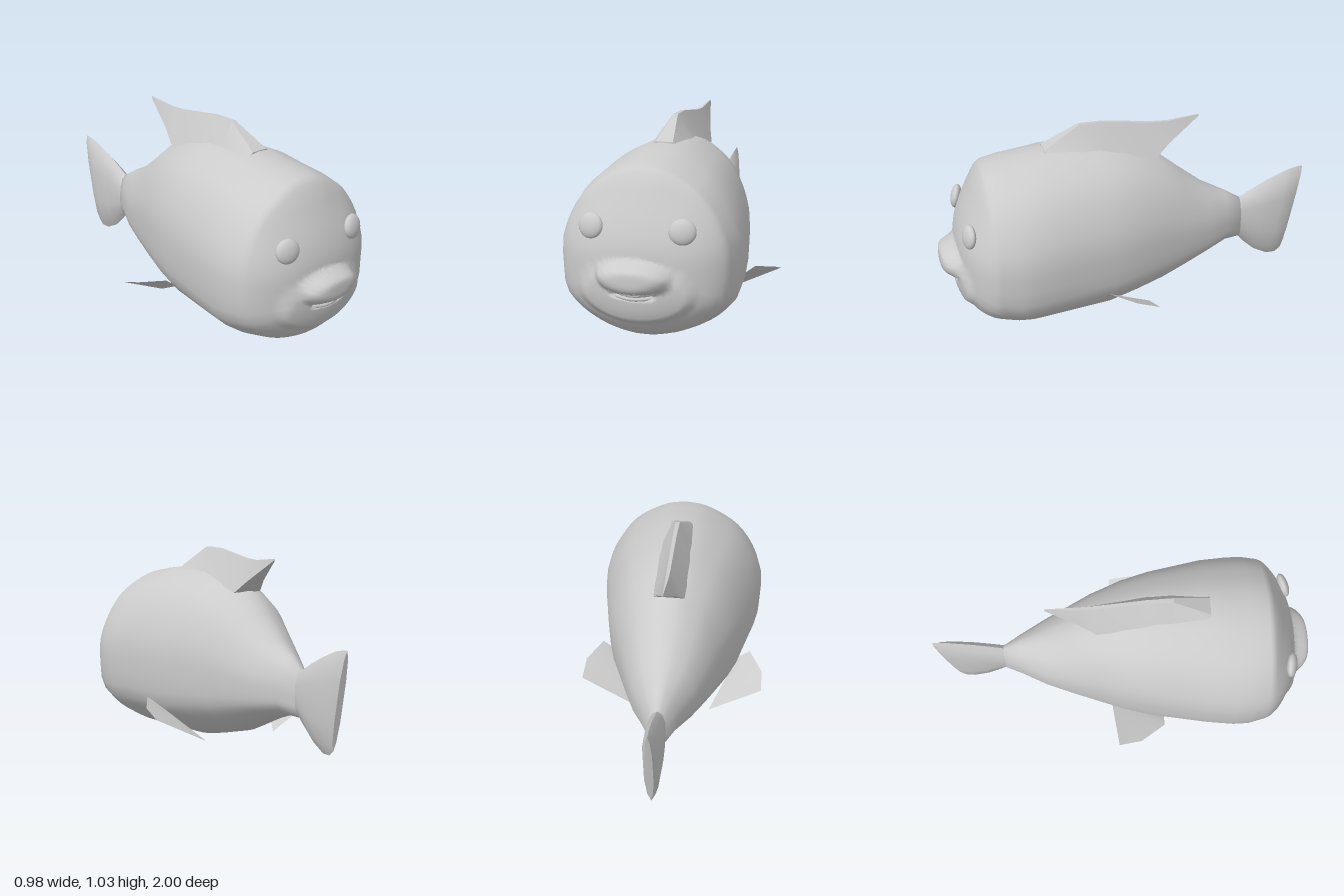
import * as THREE from 'three';
import { mergeVertices, toCreasedNormals } from 'three/addons/utils/BufferGeometryUtils.js';

const V = (x, y, z) => new THREE.Vector3(x, y, z);
const material = new THREE.MeshStandardMaterial({ color: 0xcccccc, roughness: 0.8 });
const thinMaterial = new THREE.MeshStandardMaterial({ color: 0xcccccc, roughness: 0.8, side: THREE.DoubleSide });
const { smoothstep } = THREE.MathUtils;

// Skin closed rings, listed from back (-z) to front (+z), and close both ends
function loft(rings) {
  const n = rings[0].length, pos = [], index = [];
  for (const ring of rings) for (const p of ring) pos.push(p.x, p.y, p.z);
  for (let i = 0; i < rings.length - 1; i++) {
    for (let j = 0; j < n; j++) {
      const a = i * n + j, b = i * n + (j + 1) % n;
      index.push(a, b, b + n, a, b + n, a + n);
    }
  }
  [0, rings.length - 1].forEach((r, end) => {
    const c = V(0, 0, 0);
    rings[r].forEach(p => c.addScaledVector(p, 1 / n));
    const ci = pos.length / 3;
    pos.push(c.x, c.y, c.z);
    for (let j = 0; j < n; j++) {
      const a = r * n + j, b = r * n + (j + 1) % n;
      index.push(...(end ? [ci, a, b] : [ci, b, a]));
    }
  });
  const g = new THREE.BufferGeometry();
  g.setAttribute('position', new THREE.Float32BufferAttribute(pos, 3));
  g.setIndex(index);
  g.computeVertexNormals();
  return g;
}

function add(group, name, geometry, mat = material) {
  const mesh = new THREE.Mesh(geometry, mat);
  mesh.name = name;
  group.add(mesh);
  return mesh;
}

// Right half of the body outline, bottom to top, as fractions of width and height
const half = new THREE.CatmullRomCurve3([
  [0, 0], [0.12, 0.002], [0.38, 0.03], [0.57, 0.07], [0.8, 0.145], [0.97, 0.25], [1, 0.38],
  [1, 0.54], [0.89, 0.7], [0.7, 0.84], [0.46, 0.93], [0.22, 0.985], [0, 1],
].map(([x, y]) => V(x, y, 0)), false, 'centripetal').getSpacedPoints(28);
const outline = [...half, ...half.slice(1, -1).reverse().map(p => V(-p.x, p.y, 0))];

const bump = (u, v) => { const d = 1 - u * u - v * v; return d > 0 ? 1 - (1 - d) ** 2 : 0; };

// Depth of the face: rounded dome with muzzle, upper lip, mouth slot and chin
function faceDepth(x, y, s) {
  let z = 0.74 + 0.18 * (1 - s ** 2.5) ** 0.7;
  const inner = 1 - s ** 8;
  z -= 0.03 * smoothstep(y, 0.45, 0.75) * inner;
  z += 0.015 * (1 - smoothstep(y, 0.1, 0.35)) * inner;
  const muzzle = Math.hypot(x / 0.29, (y - 0.28) / 0.15);
  z += 0.02 * (1 - smoothstep(muzzle, 0.85, 1.05));
  z += 0.065 * bump(x / 0.19, (y - 0.365) / 0.085);
  z -= 0.03 * bump(x / 0.12, (y - 0.28) / 0.022);
  return z;
}

function bodyGeometry() {
  // z, bottom, top, half width
  const sections = [
    [-0.64, 0.245, 0.485, 0.045], [-0.55, 0.245, 0.54, 0.095], [-0.42, 0.2, 0.61, 0.165],
    [-0.28, 0.14, 0.72, 0.22], [-0.16, 0.09, 0.82, 0.265], [0, 0.05, 0.88, 0.325],
    [0.15, 0.015, 0.917, 0.365], [0.43, 0.007, 0.92, 0.42], [0.57, 0.002, 0.895, 0.437],
    [0.65, 0.01, 0.885, 0.438], [0.74, 0.03, 0.867, 0.42],
  ];
  const rings = sections.map(([z, b, t, w]) => outline.map(p => V(p.x * w, b + p.y * (t - b), z)));
  const rim = rings[rings.length - 1], steps = 40;
  for (let i = 1; i < steps; i++) {
    const s = 1 - i / steps;
    rings.push(rim.map(p => {
      const x = p.x * s, y = 0.36 + (p.y - 0.36) * s;
      return V(x, y, faceDepth(x, y, s));
    }));
  }
  return loft(rings);
}

function dorsalFinGeometry() {
  // z, base height, ridge height, base half width, ridge half width
  const rings = [
    [-0.39, 1.0, 1.01, 0.004, 0.002], [-0.22, 0.885, 0.992, 0.05, 0.008], [-0.14, 0.82, 0.995, 0.08, 0.009],
    [0.12, 0.88, 1.03, 0.088, 0.01], [0.25, 0.89, 1.03, 0.085, 0.012], [0.44, 0.9, 0.922, 0.07, 0.045],
  ].map(([z, b, t, w, r]) => [V(-w, b, z), V(w, b, z), V(r, t, z), V(-r, t, z)]);
  return toCreasedNormals(loft(rings), 0.45);
}

function tailGeometry() {
  // lower edge z and y, upper edge z and y, half thickness
  const rings = [
    [-0.9, 0.13, -1, 0.63, 0.018], [-0.87, 0.105, -0.97, 0.628, 0.032], [-0.82, 0.105, -0.91, 0.615, 0.042],
    [-0.74, 0.145, -0.8, 0.57, 0.045], [-0.68, 0.2, -0.72, 0.53, 0.044], [-0.64, 0.245, -0.64, 0.485, 0.042],
  ].map(([zb, yb, zt, yt, w]) => {
    const at = (k, f) => V(w * f, yb + (yt - yb) * k, zb + (zt - zb) * k);
    return [at(0, 0), at(0.1, 0.65), at(0.3, 1), at(0.7, 1), at(0.92, 0.6),
      at(1, 0), at(0.92, -0.6), at(0.7, -1), at(0.3, -1), at(0.1, -0.65)];
  });
  return toCreasedNormals(loft(rings), 0.8);
}

function sideFinGeometry(side) {
  const p = [[0.21, 0.04, -0.075], [0.49, 0.18, -0.05], [0.485, 0.22, 0.07], [0.41, 0.253, 0.2], [0.34, 0.2, 0.2]];
  const g = new THREE.BufferGeometry();
  g.setAttribute('position', new THREE.Float32BufferAttribute(p.flatMap(([x, y, z]) => [side * x, y, z]), 3));
  g.setIndex(side > 0 ? [0, 2, 1, 0, 3, 2, 0, 4, 3] : [0, 1, 2, 0, 2, 3, 0, 3, 4]);
  g.computeVertexNormals();
  return g;
}

// Curved bar across the mouth
function mouthBar(width, y, z, radius, lift) {
  const curve = new THREE.QuadraticBezierCurve3(
    V(-width, y + lift, z - 0.025), V(0, y - lift, z + 0.025), V(width, y + lift, z - 0.025));
  return mergeVertices(new THREE.TubeGeometry(curve, 14, radius, 6));
}

export function createModel() {
  const model = new THREE.Group();
  model.name = 'fish';
  add(model, 'body', bodyGeometry());
  add(model, 'dorsalFin', dorsalFinGeometry());
  add(model, 'tailFin', tailGeometry());

  // Mouth
  add(model, 'upperLip', mouthBar(0.11, 0.302, 0.965, 0.011, 0.002));
  add(model, 'teeth', mouthBar(0.075, 0.282, 0.938, 0.009, 0.003));
  add(model, 'lowerLip', mouthBar(0.095, 0.264, 0.937, 0.01, 0.008));

  // Paired parts
  for (const side of [1, -1]) {
    const name = side > 0 ? 'left' : 'right';
    add(model, name + 'SideFin', sideFinGeometry(side), thinMaterial);
    const eye = add(model, name + 'Eye', new THREE.SphereGeometry(1, 24, 16));
    eye.scale.set(0.065, 0.062, 0.028);
    eye.position.set(side * 0.226, 0.588, 0.87);
    eye.rotation.set(-0.18, side * 0.22, 0);
  }
  return model;
}
